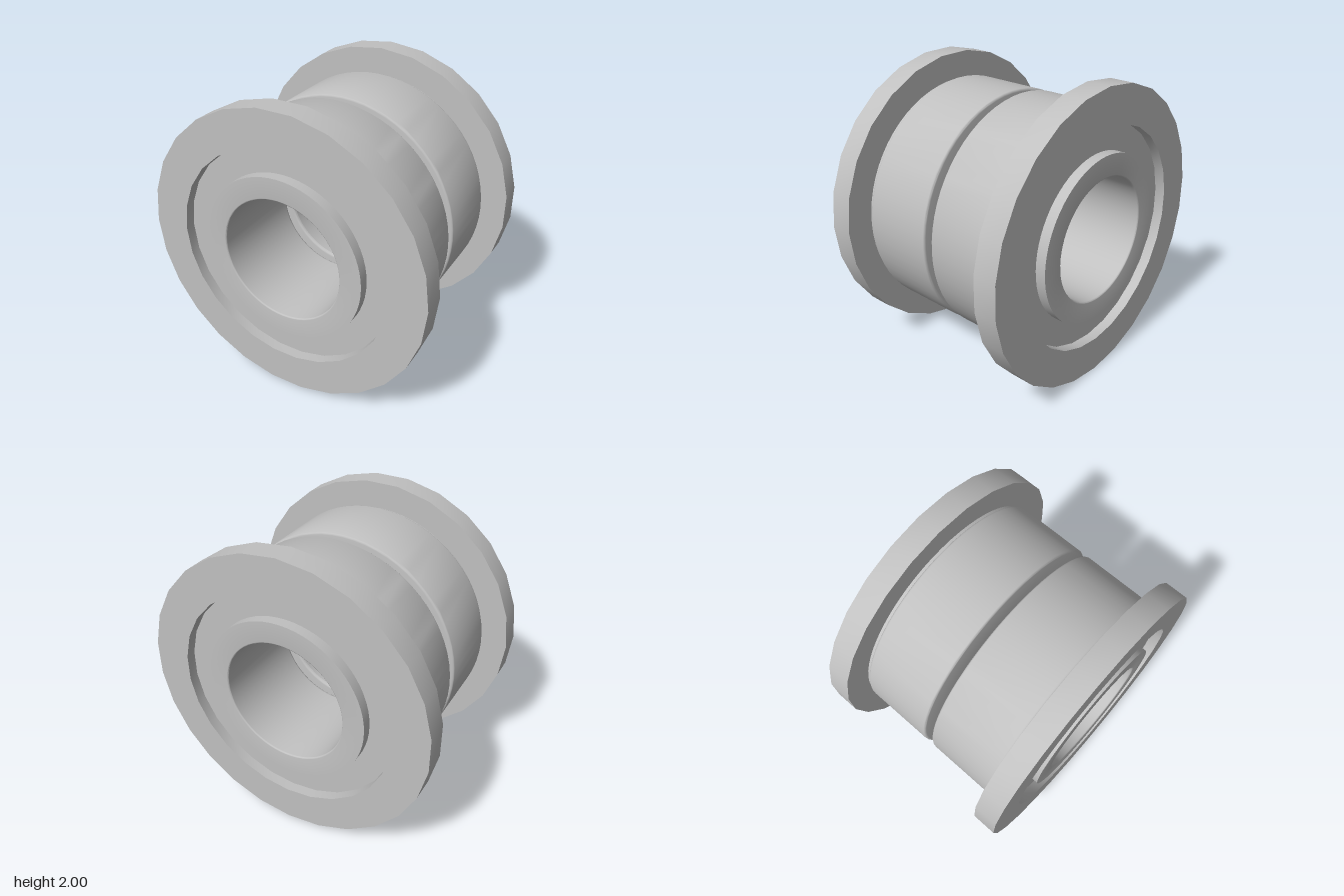
import * as THREE from 'three';
import { toCreasedNormals } from 'three/addons/utils/BufferGeometryUtils.js';

const steel = new THREE.MeshStandardMaterial({ color: 0xc0c0c0 });
steel.name = 'grey steel';

// Profile of [radius, z] points spun around the z axis, sharp edges kept.
function turned(name, profile, sides) {
  const points = profile.map(([r, z]) => new THREE.Vector2(r, z));
  const geometry = new THREE.LatheGeometry(points, sides).rotateX(Math.PI / 2);
  const mesh = new THREE.Mesh(toCreasedNormals(geometry, 0.6), steel);
  mesh.name = name;
  return mesh;
}

// Quarter-round corner of a profile, starting at angle a0.
function fillet(r, z, size, a0) {
  return [0, 1, 2, 3, 4].map((i) => {
    const a = a0 + (i * Math.PI) / 8;
    return [r + size * Math.cos(a), z + size * Math.sin(a)];
  });
}

// One flanged bushing, facing +z.
function createHalf(name) {
  const half = new THREE.Group();
  half.name = name;

  // Wide rim with a ring-shaped groove sunk into its face
  half.add(turned('flange', [
    [0.78, 0.557], [1, 0.557], [1, 0.72], [0.75, 0.72], [0.75, 0.65], [0.55, 0.65],
  ], 26));

  // Sleeve: rounded barrel, undercut neck, inner boss and bore
  const f = 0.018;
  half.add(turned('sleeve', [
    ...fillet(0.42 + f, 0.03 + f, f, Math.PI),
    ...fillet(0.83 - f, 0.03 + f, f, -Math.PI / 2),
    ...fillet(0.83 - f, 0.538 - f, f, 0),
  ], 64));
  half.add(turned('neck', [[0.815, 0.53], [0.815, 0.56]], 64));
  half.add(turned('boss', [
    [0.57, 0.64], [0.57, 0.72],
    ...fillet(0.42 + 0.01, 0.72 - 0.01, 0.01, Math.PI / 2),
    [0.42, 0.03 + f],
  ], 64));
  return half;
}

export function createModel() {
  const model = new THREE.Group();
  model.name = 'flanged bushing pair';

  const front = createHalf('frontBushing');
  front.rotation.z = Math.PI / 2;
  const back = createHalf('backBushing');
  back.rotation.y = Math.PI;

  for (const half of [front, back]) {
    half.position.y = 1;
    model.add(half);
  }
  return model;
}
